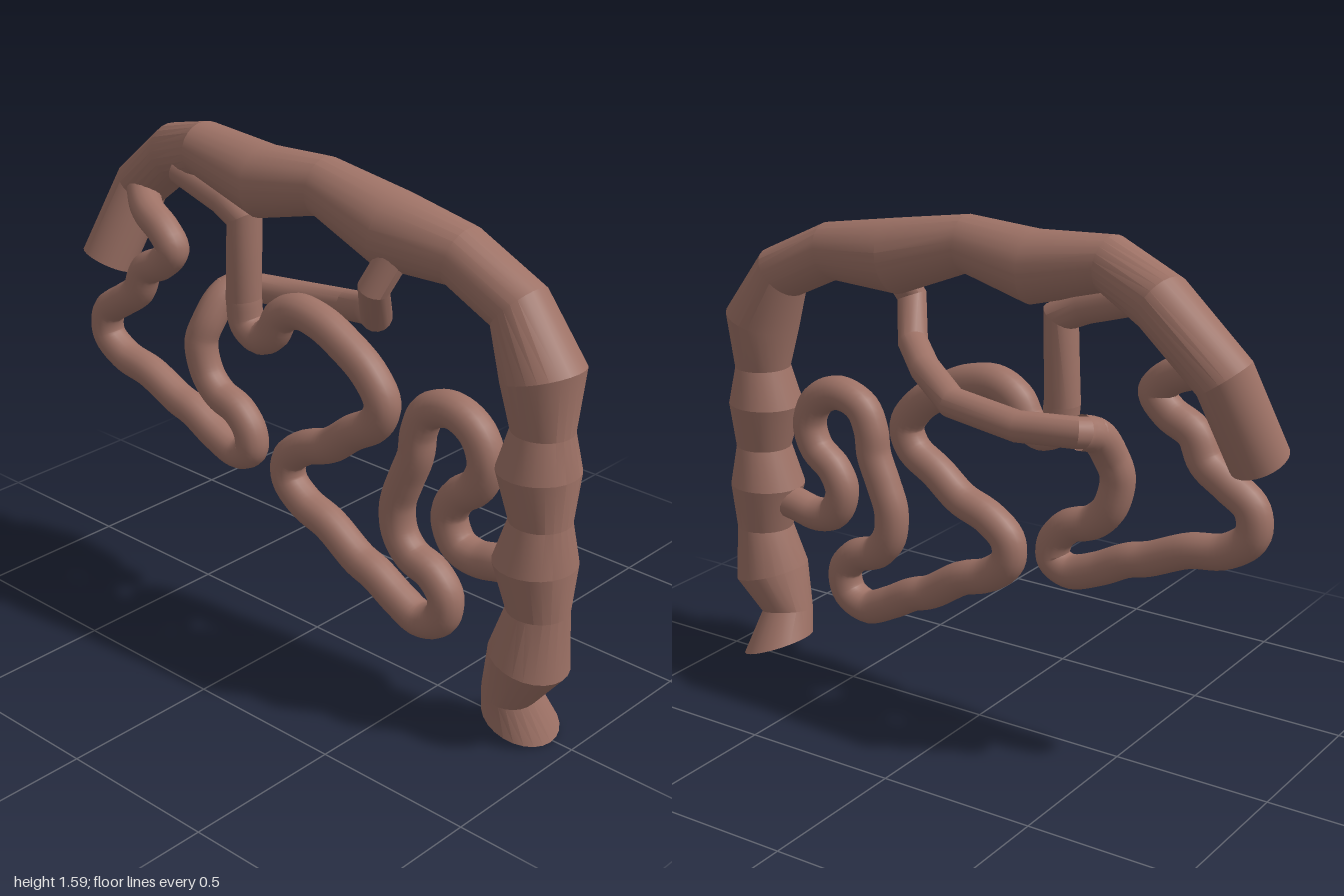
import * as THREE from 'three';
import { toCreasedNormals } from 'three/addons/utils/BufferGeometryUtils.js';

// Skin a round tube over a list of centres; radii is a number or one value per ring
function sweep(points, radii, sides, startDir) {
  const pos = [], index = [], last = points.length - 1;
  points.forEach((p, i) => {
    const prev = points[Math.max(i - 1, 0)], next = points[Math.min(i + 1, last)];
    const t = new THREE.Vector3();
    if (i > 0) t.add(p.clone().sub(prev).normalize());
    if (i < last) t.add(next.clone().sub(p).normalize());
    if (i === 0 && startDir) t.copy(startDir);
    t.normalize();
    const b = new THREE.Vector3(1, 0, 0);
    b.addScaledVector(t, -b.dot(t)).normalize();
    const n = t.clone().cross(b);
    const r = Array.isArray(radii) ? radii[i] : radii;
    for (let j = 0; j < sides; j++) {
      const a = (j / sides) * Math.PI * 2;
      const v = p.clone().addScaledVector(b, r * Math.cos(a)).addScaledVector(n, r * Math.sin(a));
      pos.push(v.x, v.y, v.z);
      if (i < last) {
        const k = i * sides + j, k1 = i * sides + ((j + 1) % sides);
        index.push(k, k1, k + sides, k1, k1 + sides, k + sides);
      }
    }
  });
  const g = new THREE.BufferGeometry();
  g.setAttribute('position', new THREE.Float32BufferAttribute(pos, 3));
  g.setIndex(index);
  g.computeVertexNormals();
  return g;
}

// Flat ring joining the outer and inner wall at one end of the large tube
function rimGeometry(outer, inner, ring, sides) {
  const pos = [], index = [];
  for (let j = 0; j < sides; j++) {
    for (const g of [outer, inner]) {
      const v = new THREE.Vector3().fromBufferAttribute(g.attributes.position, ring * sides + j);
      pos.push(v.x, v.y, v.z);
    }
    const a = j * 2, c = ((j + 1) % sides) * 2;
    index.push(a, a + 1, c, c, a + 1, c + 1);
  }
  const g = new THREE.BufferGeometry();
  g.setAttribute('position', new THREE.Float32BufferAttribute(pos, 3));
  g.setIndex(index);
  g.computeVertexNormals();
  return g;
}

const V = (x, y, z) => new THREE.Vector3(x, y, z);
const smooth = (pts, n) => new THREE.CatmullRomCurve3(pts, false, 'centripetal').getPoints(n);

export function createModel() {
  const group = new THREE.Group();
  const flesh = new THREE.MeshStandardMaterial({ color: 0x9e7266, side: THREE.DoubleSide });
  flesh.name = 'flesh brown';
  const add = (name, geometry) => {
    const m = new THREE.Mesh(geometry, flesh);
    m.name = name;
    group.add(m);
  };

  // Large segmented tube: x, y, z, radius
  const rings = [
    [-0.01, 0.05, 0.82, 0.12], [-0.05, 0.157, 0.81, 0.085], [-0.05, 0.29, 0.87, 0.122],
    [-0.045, 0.45, 0.888, 0.092], [-0.05, 0.6, 0.874, 0.122], [-0.05, 0.73, 0.885, 0.09],
    [-0.05, 0.88, 0.87, 0.12], [-0.05, 1.0, 0.877, 0.09], [-0.05, 1.16, 0.87, 0.12],
    [-0.045, 1.325, 0.775, 0.092], [-0.045, 1.418, 0.58, 0.09], [-0.045, 1.435, 0.33, 0.115],
    [-0.05, 1.505, 0.075, 0.087], [-0.05, 1.467, -0.16, 0.11], [-0.045, 1.51, -0.415, 0.085],
    [0.03, 1.445, -0.62, 0.09], [0.08, 1.28, -0.845, 0.088], [-0.02, 1.03, -0.912, 0.088],
  ];
  const S = 24;
  const centres = rings.map(([x, y, z]) => V(x, y, z));
  const radii = rings.map((r) => r[3]);
  const startDir = V(0, 0.22, 0.08);
  const outer = sweep(centres, radii, S, startDir);
  const inner = sweep(centres, radii.map((r) => r * 0.8), S, startDir);
  add('largeTube', toCreasedNormals(outer, 0.3));
  add('largeTubeInnerWall', inner);
  add('lowerRim', rimGeometry(outer, inner, 0, S));
  add('rearRim', rimGeometry(outer, inner, rings.length - 1, S));

  // Front coil, winding from the lower large tube up to the hanging drop tube: z, y
  const frontCoil = [
    [0.84, 0.56], [0.75, 0.545], [0.67, 0.53], [0.6, 0.55], [0.565, 0.63], [0.595, 0.7],
    [0.665, 0.76], [0.69, 0.84], [0.655, 0.92], [0.57, 0.96], [0.48, 0.93], [0.445, 0.86],
    [0.435, 0.78], [0.4, 0.69], [0.37, 0.6], [0.38, 0.51], [0.43, 0.45], [0.51, 0.42],
    [0.56, 0.36], [0.545, 0.285], [0.47, 0.25], [0.38, 0.285], [0.29, 0.335], [0.22, 0.36],
    [0.1, 0.435], [0, 0.47], [-0.07, 0.53], [-0.07, 0.6], [0, 0.66], [0.1, 0.7],
    [0.19, 0.77], [0.28, 0.83], [0.305, 0.9], [0.25, 0.98], [0.15, 1.045], [0.06, 1.085],
    [-0.03, 1.095], [-0.1, 1.06], [-0.14, 0.995], [-0.19, 0.97], [-0.245, 1.0], [-0.258, 1.08],
  ].map(([z, y]) => V(-0.05, y, z));
  add('frontCoil', sweep(smooth(frontCoil, 200), 0.055, 16));

  // Straight tube hanging from the arch into the coil
  const drop = [V(-0.05, 1.07, -0.258), V(-0.05, 1.335, -0.25), V(-0.05, 1.375, -0.33), V(-0.05, 1.43, -0.52)];
  add('dropTube', toCreasedNormals(sweep(drop, [0.055, 0.058, 0.052, 0.05], 16), 0.5));

  // Bent branch that leaves the arch on one side and crosses to the other
  const branch = [
    V(-0.09, 1.4, 0.385), V(-0.14, 1.29, 0.345), V(-0.06, 1.17, 0.285), V(0.04, 1.13, 0.17),
    V(0.13, 1.075, 0.01), V(0.135, 1.045, -0.22), V(0.09, 1.045, -0.39), V(0.02, 1.03, -0.425),
  ];
  add('branchTube', toCreasedNormals(sweep(branch, 0.047, 16), 0.5));

  // Rear coil, from the branch to the rear of the large tube: x, y, z
  const rearCoil = [
    [0.08, 1.045, -0.4], [0.02, 1.02, -0.42], [-0.03, 0.95, -0.435], [-0.05, 0.88, -0.45],
    [-0.05, 0.78, -0.425], [-0.05, 0.725, -0.37], [-0.05, 0.695, -0.29], [-0.05, 0.64, -0.24],
    [-0.05, 0.58, -0.235], [-0.05, 0.55, -0.29], [-0.05, 0.58, -0.39], [-0.05, 0.63, -0.49],
    [-0.05, 0.65, -0.56], [-0.05, 0.705, -0.69], [-0.05, 0.73, -0.81], [-0.055, 0.79, -0.885],
    [-0.055, 0.87, -0.88], [-0.055, 0.93, -0.8], [-0.055, 0.98, -0.73], [-0.055, 1.06, -0.69],
    [-0.055, 1.105, -0.61], [-0.055, 1.16, -0.565], [-0.05, 1.21, -0.61], [-0.03, 1.25, -0.7],
    [0.04, 1.29, -0.8],
  ].map((p) => V(...p));
  add('rearCoil', sweep(smooth(rearCoil, 140), 0.053, 16));

  return group;
}
